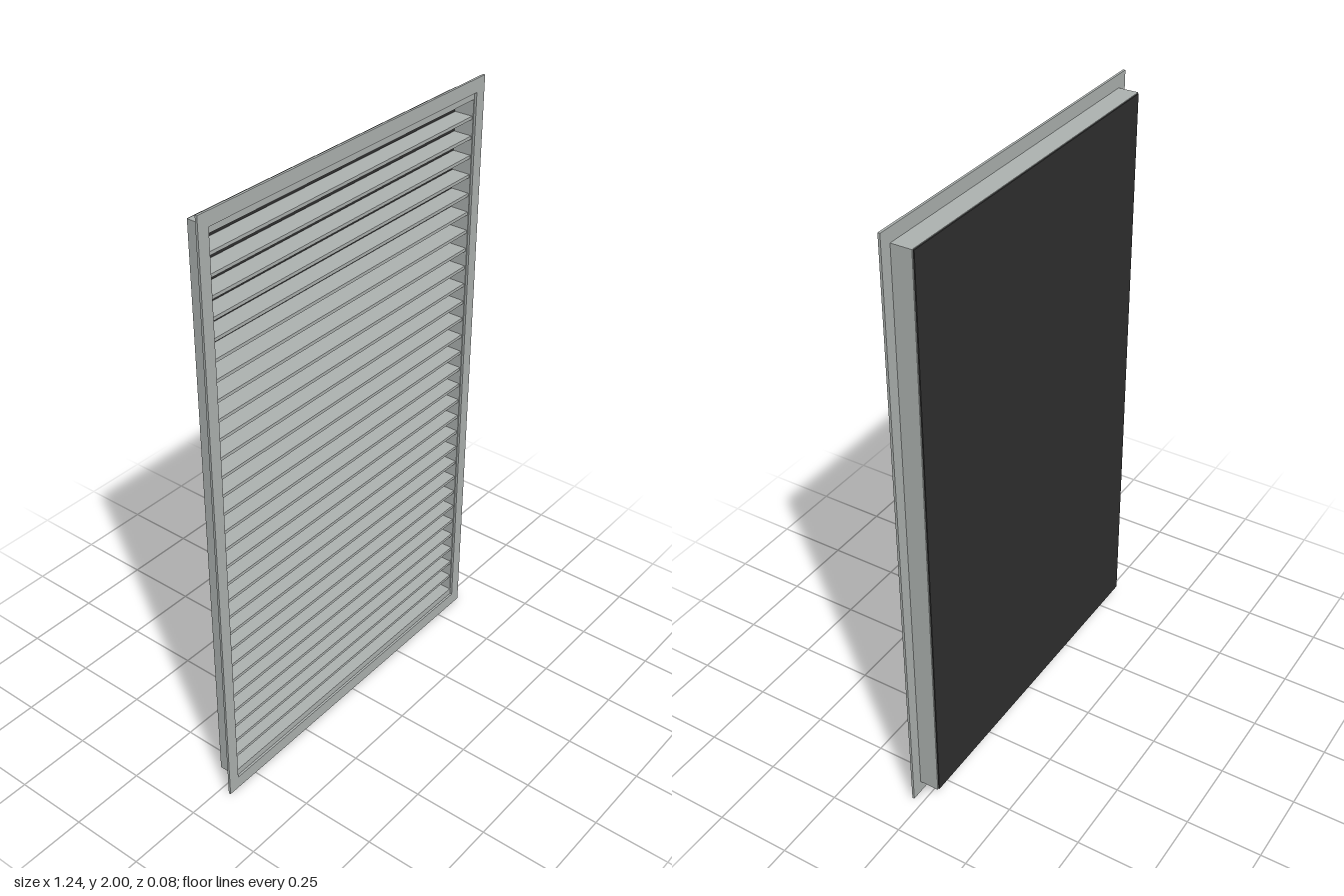
import * as THREE from 'three';

export function createModel() {
  const model = new THREE.Group();
  model.name = 'ventGrille';

  const metal = new THREE.MeshStandardMaterial({ color: 0xaeb3b1 });
  metal.name = 'greyMetal';
  const dark = new THREE.MeshStandardMaterial({ color: 0x2f2f2f });
  dark.name = 'darkBacking';

  const H = 2, W = 1.24;            // flange size
  const ductW = 1.164, ductH = 1.914; // collar size
  const flangeBack = 0.031, front = 0.0385, ductBack = -0.0345;

  // Box given by its size and centre
  const box = (name, mat, w, h, d, x, y, z, parent = model) => {
    const mesh = new THREE.Mesh(new THREE.BoxGeometry(w, h, d), mat);
    mesh.name = name;
    mesh.position.set(x, y, z);
    parent.add(mesh);
    return mesh;
  };

  // Rectangular ring centred on the model, from z0 to z1
  const ring = (name, w, h, holeW, holeH, z0, z1) => {
    const rect = (p, a, b) => p.moveTo(-a / 2, -b / 2).lineTo(a / 2, -b / 2)
      .lineTo(a / 2, b / 2).lineTo(-a / 2, b / 2).closePath();
    const shape = rect(new THREE.Shape(), w, h);
    shape.holes.push(rect(new THREE.Path(), holeW, holeH));
    const mesh = new THREE.Mesh(
      new THREE.ExtrudeGeometry(shape, { depth: z1 - z0, bevelEnabled: false }), metal);
    mesh.name = name;
    mesh.position.set(0, H / 2, z0);
    model.add(mesh);
  };

  // Thin front flange and the collar behind it
  const innerW = ductW - 0.008, innerH = 1.866;
  ring('frontFlange', W, H, ductW - 0.002, ductH - 0.002, flangeBack, front);
  ring('collar', ductW, ductH, innerW, innerH, ductBack, flangeBack);

  // Dark panel closing the back
  box('backPanel', dark, ductW - 0.008, ductH - 0.004, 0.004, 0, H / 2, ductBack - 0.002);

  // Evenly spaced horizontal slats
  const slats = new THREE.Group();
  slats.name = 'slats';
  model.add(slats);
  const gaps = 30, pitch = 0.0625;
  for (let i = 1; i < gaps; i++) {
    const y = H / 2 + (i - gaps / 2) * pitch;
    box('slat', metal, innerW, 0.0105, 0.062, 0, y, -0.0035, slats);
  }
  return model;
}
